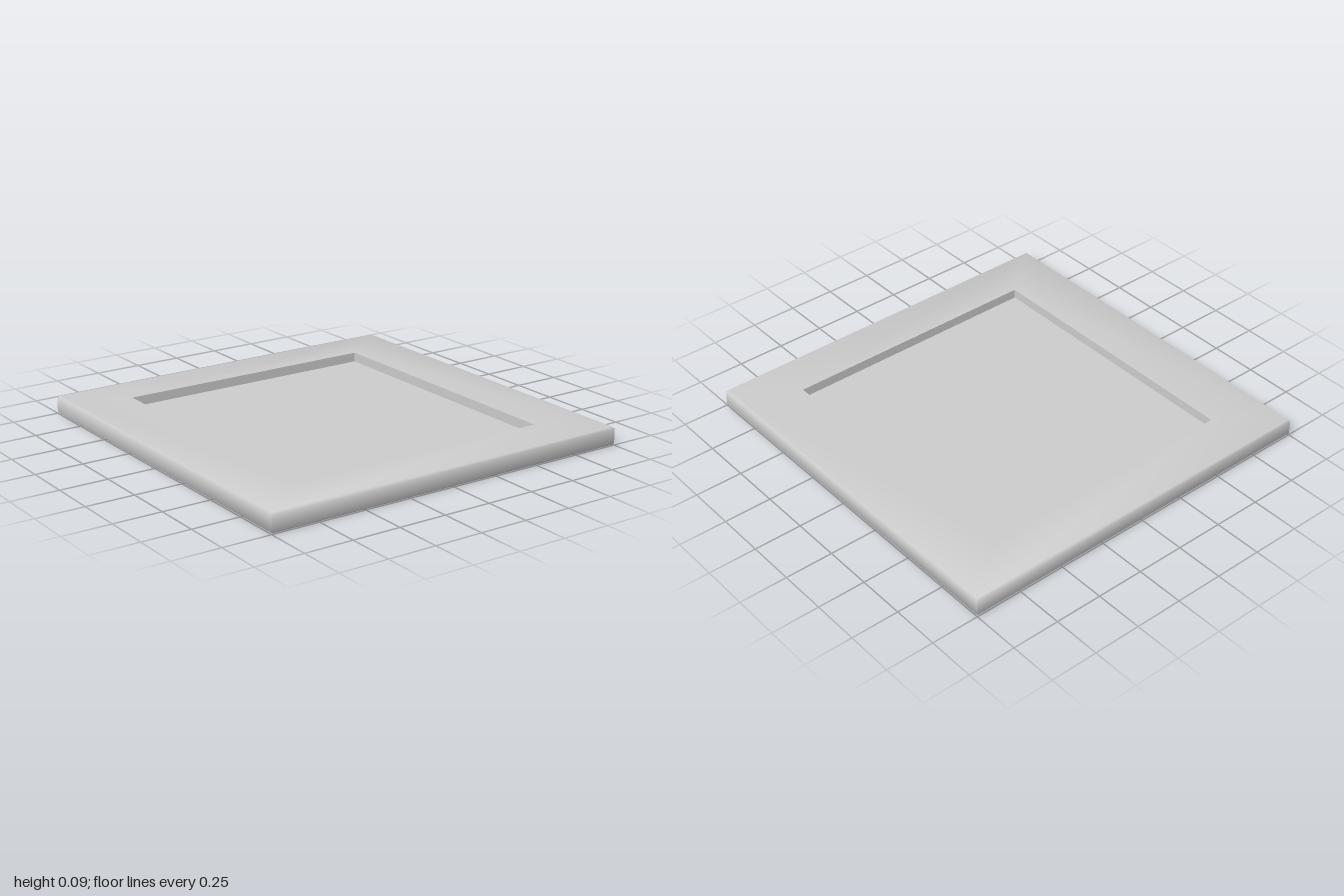
import * as THREE from 'three';
import { toCreasedNormals } from 'three/addons/utils/BufferGeometryUtils.js';

// Rectangular loops [half width x, half depth z, y], from the underside,
// up the outer edge, across the rim and down into the recess
const LOOPS = [
  [0.99, 0.99, 0],
  [1, 1, 0.01],
  [1, 1, 0.085],
  [0.99, 0.99, 0.095],
  [0.75, 0.7, 0.095],
  [0.75, 0.7, 0.045],
];
const CORNERS = [[-1, 1], [1, 1], [1, -1], [-1, -1]];

function loftRectangles(loops) {
  const positions = [];
  const index = [];
  for (const [hx, hz, y] of loops) {
    for (const [sx, sz] of CORNERS) positions.push(sx * hx, y, sz * hz);
  }
  // Bands between neighbouring loops
  for (let j = 0; j < loops.length - 1; j++) {
    for (let i = 0; i < 4; i++) {
      const a = j * 4 + i;
      const b = j * 4 + (i + 1) % 4;
      index.push(a, b, b + 4, a, b + 4, a + 4);
    }
  }
  // Underside and recess floor
  const f = (loops.length - 1) * 4;
  index.push(0, 2, 1, 0, 3, 2, f, f + 1, f + 2, f, f + 2, f + 3);

  const geometry = new THREE.BufferGeometry();
  geometry.setAttribute('position', new THREE.Float32BufferAttribute(positions, 3));
  geometry.setIndex(index);
  return toCreasedNormals(geometry, THREE.MathUtils.degToRad(50));
}

export function createModel() {
  const group = new THREE.Group();
  group.name = 'recessedPanel';
  const material = new THREE.MeshStandardMaterial({ color: 0xcccccc });

  // Flat slab with softened outer edges and a sharp-edged recess on top
  const slab = new THREE.Mesh(loftRectangles(LOOPS), material);
  slab.name = 'recessedSlab';
  group.add(slab);
  return group;
}
